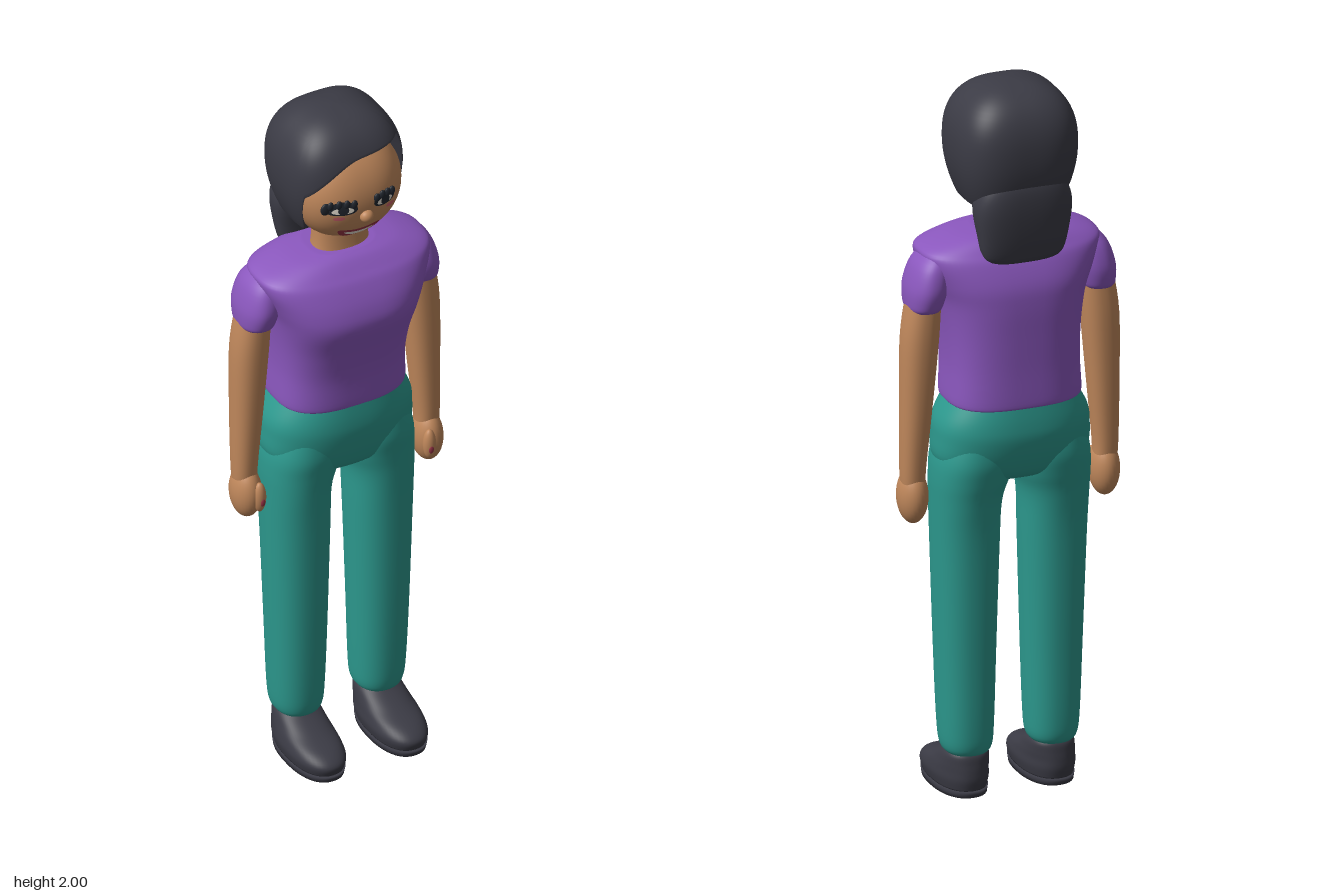
import * as THREE from 'three';

const mat = (name, color, side = THREE.FrontSide) => {
  const m = new THREE.MeshStandardMaterial({ color, side });
  m.name = name;
  return m;
};

// Grid of points (rows going up, columns around) turned into a smooth closed skin
function skin(rows, n) {
  const pos = rows.flat(2), idx = [];
  for (let i = 0; i < rows.length - 1; i++) {
    for (let j = 0; j < n; j++) {
      const k = (j + 1) % n, a = i * n + j, b = i * n + k;
      idx.push(a, a + n, b, b, a + n, b + n);
    }
  }
  const g = new THREE.BufferGeometry();
  g.setAttribute('position', new THREE.Float32BufferAttribute(pos, 3));
  g.setIndex(idx);
  g.computeVertexNormals();
  return g;
}

const sp = (v, p) => Math.sign(v) * Math.abs(v) ** (2 / p);

function ring(y, cx, rx, zf, zb, p, n) {
  const row = [];
  for (let j = 0; j < n; j++) {
    const a = (j / n) * Math.PI * 2;
    row.push([cx + rx * sp(Math.cos(a), p), y, (zf + zb) / 2 + ((zf - zb) / 2) * sp(Math.sin(a), p)]);
  }
  return row;
}

// Sections [y, centre x, half width, front z, back z], smoothed in between and closed at both ends
function loft(sections, p = 2.3, steps = 5, n = 48) {
  const at = (i) => sections[Math.max(0, Math.min(sections.length - 1, i))];
  const rows = [];
  const add = (s, k = 1) => {
    const c = (s[3] + s[4]) / 2, r = ((s[3] - s[4]) / 2) * k;
    rows.push(ring(s[0], s[1], s[2] * k, c + r, c - r, p, n));
  };
  add(at(0), 0.001);
  for (let i = 0; i < sections.length - 1; i++) {
    for (let t = 0; t < steps; t++) {
      const u = t / steps;
      add(at(i).map((b, k) => {
        const a = at(i - 1)[k], c = at(i + 1)[k], d = at(i + 2)[k];
        return 0.5 * (2 * b + (c - a) * u + (2 * a - 5 * b + 4 * c - d) * u * u + (3 * b - a - 3 * c + d) * u ** 3);
      }));
    }
  }
  add(at(sections.length - 1));
  add(at(sections.length - 1), 0.001);
  return skin(rows, n);
}

// Head surface
const HEAD = { y: 1.79, rx: 0.155, ry: 0.162, rz: 0.148, p: 2.4 };
const headK = (y) => Math.sqrt(Math.max(0, 1 - ((y - HEAD.y) / HEAD.ry) ** 2));
const faceZ = (x, y) => HEAD.rz * Math.max(0, headK(y) ** HEAD.p - Math.abs(x / HEAD.rx) ** HEAD.p) ** (1 / HEAD.p);

// Thin ellipse laid on the face; bend lifts its ends
function facePlate(x, y, rx, ry, lift, bend = 0) {
  const g = new THREE.RingGeometry(0.001, 1, 32, 5), v = g.attributes.position;
  for (let i = 0; i < v.count; i++) {
    const dx = v.getX(i) * rx, py = y + v.getY(i) * ry + bend * dx * dx;
    v.setXYZ(i, x + dx, py, faceZ(x + dx, py) + lift);
  }
  g.computeVertexNormals();
  return g;
}

// Hair cap: dome whose lower edge follows a swept hairline around the face
function hairCap() {
  const n = 160, rows = [], steps = 22, base = ring(0, 0, 0.167, 0.124, -0.195, 3, n), cz = -0.0355;
  const end = base.map(([x, , z]) => {
    const line = 1.91 + 0.08 * x - (x < 0 ? 4.2 * x * x : 0);
    return THREE.MathUtils.lerp(1.68, line, THREE.MathUtils.smoothstep(z, 0.05, 0.075));
  });
  const radius = (y) => (y > 1.83
    ? Math.max(0, 1 - ((y - 1.83) / 0.17) ** 2.4) ** (1 / 2.4)
    : 1 - 0.2 * ((1.83 - y) / 0.15) ** 2);
  const row = (u, s) => base.map(([x, , z], j) => {
    const y = THREE.MathUtils.lerp(end[j], 2, u), k = Math.max(0.0005, radius(y) * s);
    return [x * k, y, cz + (z - cz) * k];
  });
  rows.push(row(0, 0.4), row(0, 0.95), row(0, 0.985));
  for (let i = 0; i <= steps; i++) rows.push(row(Math.sin((i / steps) * Math.PI / 2), 1));
  return skin(rows, n);
}

export function createModel() {
  const model = new THREE.Group();
  model.name = 'standingWoman';
  const skinTone = mat('skin', 0xbf875b), dark = mat('charcoal', 0x3b3b45), purple = mat('purple', 0x8a57bd);
  const teal = mat('teal', 0x2c988d), white = mat('offWhite', 0xe6dfd2), black = mat('lashBlack', 0x20252d);
  const red = mat('lipRed', 0x963445), pink = mat('blush', 0xc9606a);

  const add = (name, geo, m, parent = model) => {
    const mesh = new THREE.Mesh(geo, m);
    mesh.name = name;
    parent.add(mesh);
    return mesh;
  };
  const ball = (name, m, [x, y, z], [rx, ry, rz], parent = model) => {
    const b = add(name, new THREE.SphereGeometry(1, 28, 20), m, parent);
    b.position.set(x, y, z);
    b.scale.set(rx, ry, rz);
    return b;
  };

  // Head and neck
  const head = new THREE.Group();
  head.name = 'head';
  model.add(head);
  const rows = [];
  for (let i = 0; i <= 28; i++) {
    const y = HEAD.y - HEAD.ry * Math.cos((i / 28) * Math.PI), k = Math.max(0.001, headK(y));
    rows.push(ring(y, 0, HEAD.rx * k, HEAD.rz * k, -HEAD.rz * k, HEAD.p, 64));
  }
  add('face', skin(rows, 64), skinTone, head);
  add('neck', loft([[1.54, 0, 0.09, 0.055, -0.065], [1.6, 0, 0.078, 0.05, -0.058], [1.7, 0, 0.076, 0.05, -0.055]]), skinTone, head);
  add('hair', hairCap(), dark, head);
  add('ponytail', loft([
    [1.515, 0, 0.07, -0.1, -0.145], [1.535, 0, 0.108, -0.088, -0.162], [1.6, 0, 0.125, -0.075, -0.178],
    [1.68, 0, 0.134, -0.055, -0.188], [1.74, 0, 0.115, -0.05, -0.185], [1.78, 0, 0.08, -0.06, -0.165],
  ], 2.8), dark, head);

  // Face details
  for (const [side, x, w] of [['right', -0.068, 0.04], ['left', 0.054, 0.034]]) {
    add(side + 'EyeLiner', facePlate(x, 1.789, w, 0.022, 0.003, -4), black, head);
    add(side + 'EyeWhite', facePlate(x, 1.784, w * 0.72, 0.011, 0.005, -4), white, head);
    add(side + 'Pupil', facePlate(x, 1.785, 0.014, 0.013, 0.007), black, head);
    for (const t of [-0.75, -0.25, 0.25, 0.75]) {
      const lx = x + t * w, ly = 1.803 - 0.006 * t * t;
      ball(side + 'Lash', black, [lx, ly, faceZ(lx, ly) + 0.004], [0.009, 0.013, 0.006], head);
    }
    add(side + 'Blush', facePlate(Math.sign(x) * 0.076, 1.756, 0.015, 0.007, 0.003), pink, head);
  }
  ball('rightOuterLash', black, [-0.108, 1.788, faceZ(-0.108, 1.788) + 0.002], [0.015, 0.018, 0.007], head);
  ball('nose', skinTone, [0, 1.748, 0.146], [0.019, 0.018, 0.017], head);
  add('lips', facePlate(-0.01, 1.677, 0.06, 0.023, 0.004, 7), red, head);
  add('teeth', facePlate(-0.01, 1.682, 0.043, 0.009, 0.006, 7), white, head);

  // Shirt
  add('shirt', loft([
    [1.115, 0, 0.18, 0.103, -0.172], [1.13, 0, 0.184, 0.107, -0.175], [1.22, 0, 0.18, 0.115, -0.175],
    [1.31, 0, 0.185, 0.138, -0.177], [1.4, 0, 0.2, 0.169, -0.179], [1.46, 0, 0.222, 0.163, -0.174],
    [1.52, 0, 0.247, 0.135, -0.152], [1.548, 0, 0.238, 0.112, -0.132], [1.575, 0, 0.165, 0.085, -0.11],
    [1.587, 0, 0.09, 0.062, -0.085],
  ], 2.8, 5, 64), purple);

  // Trousers seat
  add('trouserSeat', loft([
    [0.88, 0, 0.06, 0.03, -0.06], [0.905, 0, 0.15, 0.07, -0.125], [0.95, 0, 0.208, 0.09, -0.155],
    [1.02, 0, 0.213, 0.106, -0.175], [1.07, 0, 0.205, 0.108, -0.176], [1.13, 0, 0.172, 0.102, -0.168],
  ], 2.4, 5, 64), teal);

  for (const [side, s] of [['left', 1], ['right', -1]]) {
    const limb = new THREE.Group();
    limb.name = side + 'Limbs';
    model.add(limb);
    const sided = (list) => list.map(([y, x, ...rest]) => [y, x * s, ...rest]);

    // Sleeve, arm and hand
    add(side + 'Sleeve', loft(sided([
      [1.385, 0.244, 0.042, 0.03, -0.088], [1.4, 0.243, 0.048, 0.045, -0.1], [1.45, 0.236, 0.053, 0.056, -0.111],
      [1.51, 0.222, 0.046, 0.045, -0.1], [1.55, 0.2, 0.028, 0.02, -0.07],
    ])), purple, limb);
    add(side + 'Arm', loft(sided([
      [0.88, 0.27, 0.032, 0.006, -0.06], [0.94, 0.271, 0.034, 0.01, -0.065], [1.1, 0.264, 0.042, 0.016, -0.076],
      [1.3, 0.254, 0.05, 0.021, -0.085], [1.42, 0.242, 0.045, 0.02, -0.082],
    ])), skinTone, limb);
    ball(side + 'Hand', skinTone, [0.27 * s, 0.855, -0.022], [0.041, 0.077, 0.054], limb);
    ball(side + 'Thumb', skinTone, [0.253 * s, 0.855, 0.024], [0.018, 0.045, 0.017], limb);
    ball(side + 'ThumbNail', red, [0.251 * s, 0.845, 0.039], [0.007, 0.012, 0.004], limb);

    // Trouser leg
    add(side + 'TrouserLeg', loft(sided([
      [0.115, 0.12, 0.05, 0.035, -0.08], [0.135, 0.12, 0.066, 0.048, -0.094], [0.2, 0.121, 0.073, 0.056, -0.1],
      [0.4, 0.122, 0.08, 0.064, -0.105], [0.7, 0.123, 0.089, 0.071, -0.116], [0.83, 0.123, 0.093, 0.077, -0.13],
      [0.9, 0.114, 0.103, 0.083, -0.145], [0.96, 0.107, 0.104, 0.09, -0.155], [1.03, 0.1, 0.09, 0.085, -0.15],
    ])), teal, limb);

    // Shoe
    add(side + 'Sole', loft(sided([[0, 0.122, 0.07, 0.188, -0.084], [0.018, 0.122, 0.072, 0.193, -0.088]]), 2.3, 2), dark, limb);
    add(side + 'Shoe', loft(sided([
      [0.019, 0.122, 0.069, 0.188, -0.084], [0.045, 0.122, 0.074, 0.194, -0.09], [0.068, 0.122, 0.071, 0.165, -0.09],
      [0.09, 0.121, 0.066, 0.1, -0.088], [0.115, 0.12, 0.059, 0.045, -0.084], [0.13, 0.12, 0.045, 0.025, -0.07],
    ])), dark, limb);
  }
  return model;
}
